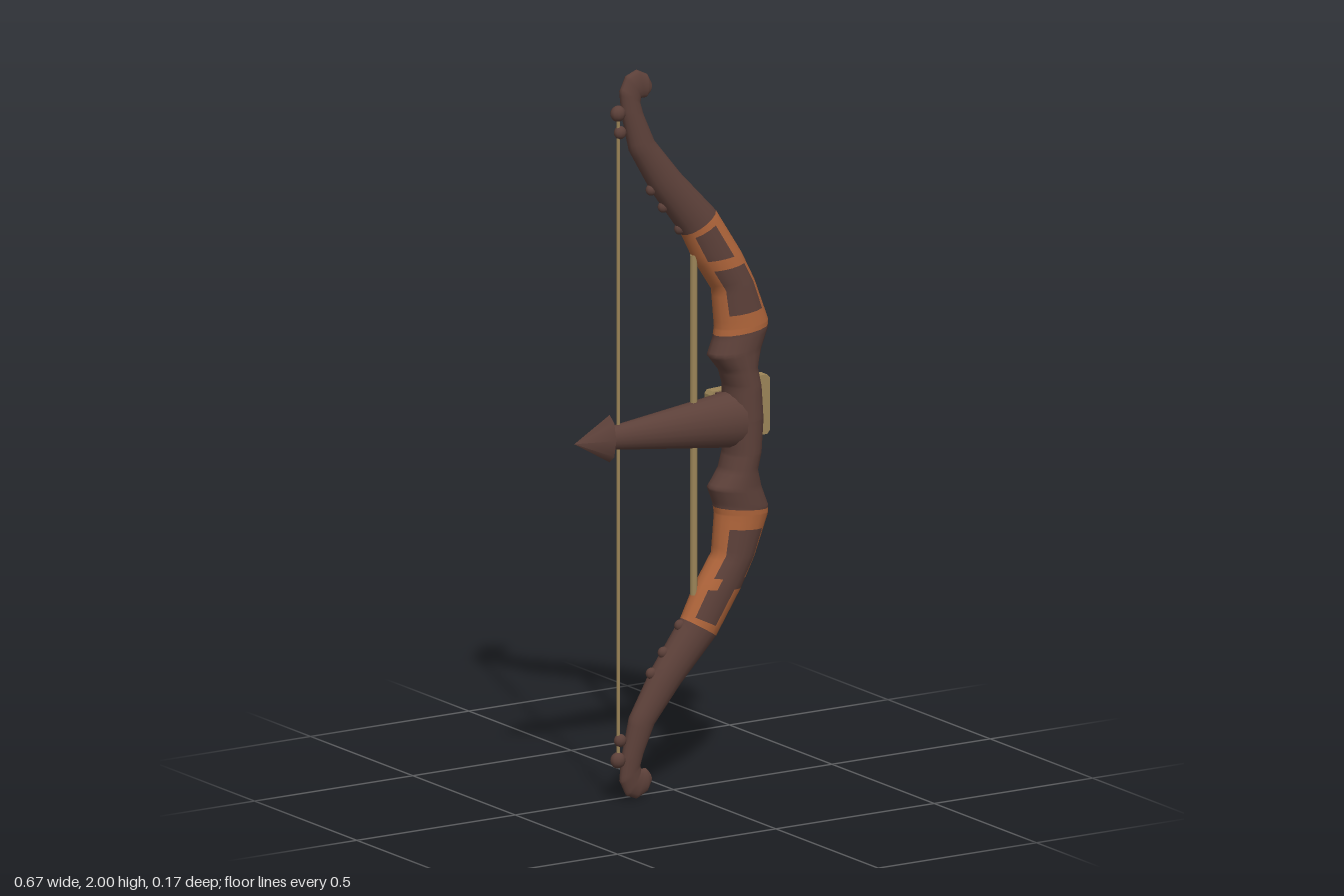
import * as THREE from 'three';

const ZC = 0.027; // centre plane of the bow
const brown = new THREE.MeshStandardMaterial({ color: 0x5c4039, name: 'dark wood' });
const orange = new THREE.MeshStandardMaterial({ color: 0xae643a, name: 'leather orange' });
const tan = new THREE.MeshStandardMaterial({ color: 0x9c8558, name: 'tan' });

// Limb stations from grip to hook: inner x, y, outer x, y, half depth
const STATIONS = [
  [0.145, 1.0, 0.255, 1.0, 0.061],
  [0.147, 1.09, 0.248, 1.09, 0.06],
  [0.133, 1.135, 0.238, 1.14, 0.058],
  [0.095, 1.18, 0.252, 1.19, 0.057],
  [0.112, 1.225, 0.274, 1.245, 0.055],
  [0.117, 1.255, 0.274, 1.265, 0.054],
  [0.108, 1.36, 0.23, 1.38, 0.05],
  [0.05, 1.447, 0.19, 1.46, 0.047],
  [0.01, 1.525, 0.11, 1.585, 0.042],
  [-0.085, 1.655, 0.0, 1.7, 0.035],
  [-0.155, 1.775, -0.082, 1.8, 0.028],
  [-0.18, 1.88, -0.115, 1.875, 0.021],
  [-0.187, 1.945, -0.124, 1.905, 0.018],
  [-0.168, 1.985, -0.122, 1.918, 0.016],
  [-0.135, 1.998, -0.115, 1.918, 0.015],
  [-0.102, 1.982, -0.105, 1.918, 0.014],
  [-0.088, 1.955, -0.098, 1.927, 0.01],
  [-0.092, 1.942, -0.092, 1.942, 0],
];
const SIDES = 16, STEPS = 6;

// Is this spot (height from the grip, angle round the limb) wrapped in leather?
function isWrapped(h, angle, s) {
  const c = Math.cos(angle);
  if (h < 0.245 || h > 0.555) return false;
  if (h > 0.305 && h < 0.42 && Math.abs(c) < 0.62) return false;
  if (h > 0.46 && h < 0.535 && c > -0.75 && c < 0.4) return false;
  if (s < 0 && h > 0.425 && h < 0.46 && c > -0.2) return false;
  return true;
}

// Lofted limb; s = 1 for the upper half, -1 for the lower
function limbGeometry(s) {
  const pos = [], heights = [], wood = [], wrap = [];
  const rings = (STATIONS.length - 1) * STEPS;
  for (let i = 0; i <= rings; i++) {
    const k = Math.min(Math.floor(i / STEPS), STATIONS.length - 2);
    const f = i / STEPS - k;
    const [lx, ly, rx, ry, hz] = STATIONS[k].map((v, n) => v + (STATIONS[k + 1][n] - v) * f);
    heights.push((ly + ry) / 2 - 1);
    for (let j = 0; j < SIDES; j++) {
      const a = (j / SIDES) * Math.PI * 2, c = Math.cos(a) / 2;
      const y = (ly + ry) / 2 + (ry - ly) * c;
      pos.push((lx + rx) / 2 + (rx - lx) * c, 1 + s * (y - 1), ZC + hz * Math.sin(a));
    }
  }
  for (let i = 0; i < rings; i++) {
    for (let j = 0; j < SIDES; j++) {
      const a = i * SIDES + j, c = i * SIDES + (j + 1) % SIDES;
      const b = a + SIDES, d = c + SIDES;
      const h = (heights[i] + heights[i + 1]) / 2;
      const list = isWrapped(h, ((j + 0.5) / SIDES) * Math.PI * 2, s) ? wrap : wood;
      if (s > 0) list.push(a, b, c, b, d, c);
      else list.push(a, c, b, b, c, d);
    }
  }
  const g = new THREE.BufferGeometry();
  g.setAttribute('position', new THREE.Float32BufferAttribute(pos, 3));
  g.setIndex([...wood, ...wrap]);
  g.addGroup(0, wood.length, 0);
  g.addGroup(wood.length, wrap.length, 1);
  g.computeVertexNormals();
  return g;
}

export function createModel() {
  const model = new THREE.Group();
  model.name = 'bow';
  const add = (name, geo, mat, x = 0, y = 0, z = 0) => {
    const m = new THREE.Mesh(geo, mat);
    m.name = name;
    m.position.set(x, y, z);
    model.add(m);
    return m;
  };

  for (const s of [1, -1]) {
    const side = s > 0 ? 'upper' : 'lower';
    add(side + 'Limb', limbGeometry(s), [brown, orange]);
    // String nocks and small studs on the inner edge
    const knobs = [[-0.193, 0.885, 0.022], [-0.186, 0.832, 0.018],
      [-0.088, 0.662, 0.016], [-0.05, 0.61, 0.016], [0.002, 0.543, 0.016]];
    knobs.forEach(([x, h, r], i) => {
      const k = add(side + (i < 2 ? 'Nock' : 'Stud'), new THREE.SphereGeometry(r, 10, 8), brown, x, 1 + s * h, ZC);
      k.scale.z = 0.8;
    });
  }

  // Bow string and inner rod
  add('bowString', new THREE.CylinderGeometry(0.005, 0.005, 1.74, 8), tan, -0.192, 1, ZC);
  add('innerRod', new THREE.CylinderGeometry(0.01, 0.01, 0.93, 10), tan, 0.046, 1, ZC);

  // Tapered spike through the grip, with a barbed head
  const shaft = add('spikeShaft', new THREE.CylinderGeometry(0.03, 0.08, 0.41, 20), brown, -0.025, 1, 0.028);
  shaft.rotation.z = Math.PI / 2;
  shaft.scale.z = 0.75;
  const head = add('spikeHead', new THREE.ConeGeometry(0.065, 0.112, 8), brown, -0.277, 1, 0.03);
  head.rotation.z = Math.PI / 2;
  head.scale.z = 0.5;

  // Mounting plate behind the grip: body, neck and wider end
  const plate = new THREE.Shape();
  [[0.155, -0.06], [0.265, -0.065], [0.285, -0.052], [0.285, -0.07], [0.295, -0.079], [0.325, -0.079],
    [0.333, -0.07], [0.333, 0.075], [0.325, 0.084], [0.295, 0.084], [0.285, 0.075], [0.285, 0.055],
    [0.265, 0.065], [0.155, 0.06], [0.148, 0.05], [0.148, -0.05]]
    .forEach(([x, y], i) => (i ? plate.lineTo(x, y) : plate.moveTo(x, y)));
  add('mountPlate', new THREE.ExtrudeGeometry(plate, { depth: 0.033, bevelEnabled: false }), tan, 0, 1, -0.078);
  add('mountPad', new THREE.BoxGeometry(0.125, 0.115, 0.022), brown, 0.222, 1, -0.034);

  // Rounded lug and slot on the plate
  const lug = add('plateLug', new THREE.CapsuleGeometry(0.02, 0.03, 6, 12), tan, 0.19, 1, -0.072);
  lug.scale.z = 0.7;
  add('plateSlot', new THREE.BoxGeometry(0.03, 0.012, 0.006), brown, 0.235, 1, -0.077);

  return model;
}
